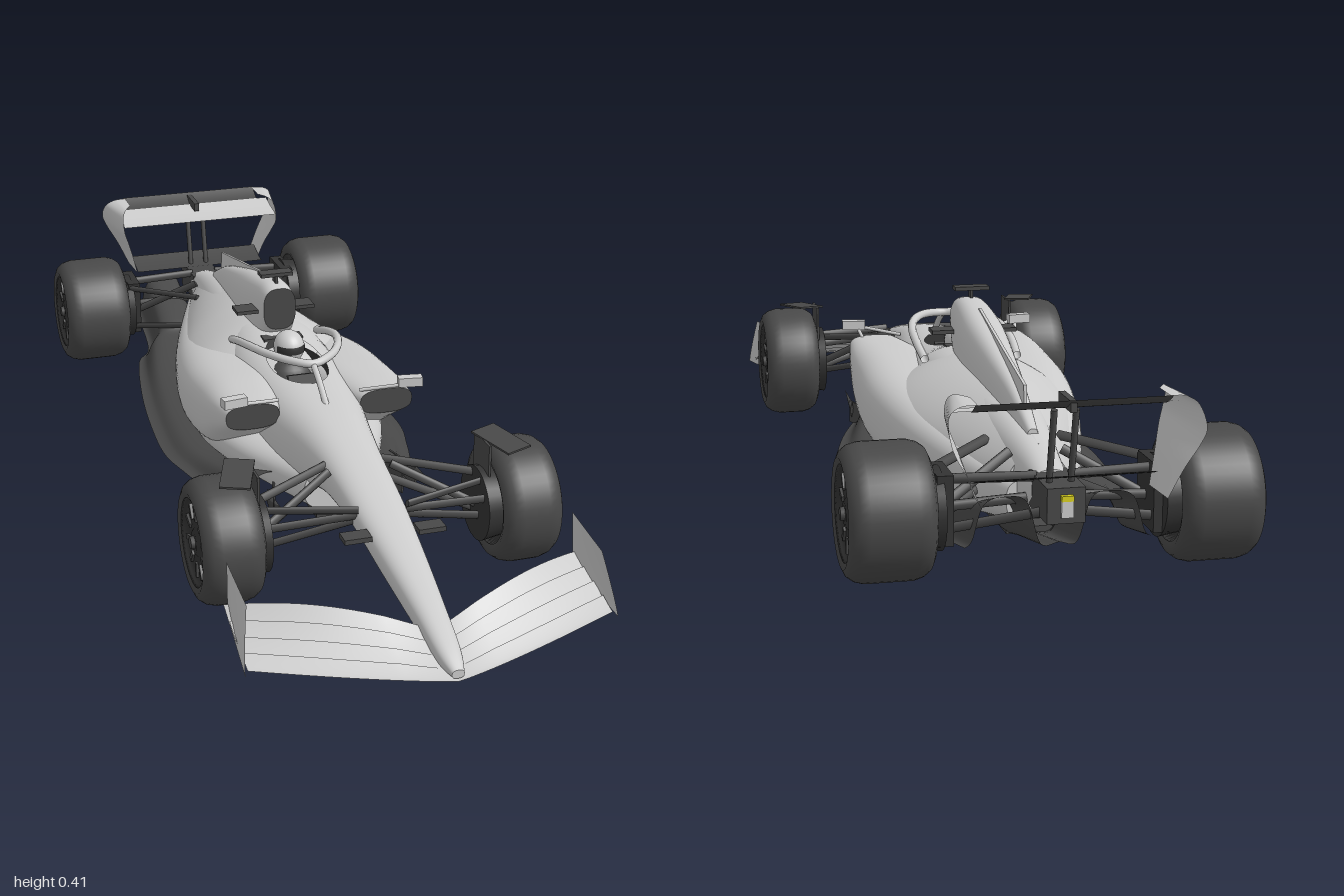
import * as THREE from 'three';
import { ParametricGeometry } from 'three/addons/geometries/ParametricGeometry.js';

const mat = (color) => new THREE.MeshStandardMaterial({ color, side: THREE.DoubleSide });
const V = (x, y, z) => new THREE.Vector3(x, y, z);
const lerp = THREE.MathUtils.lerp;

export function createModel() {
  const light = mat(0xcccccc), dark = mat(0x484848), black = mat(0x333333), yellow = mat(0xd8d020);
  const root = new THREE.Group();
  const car = new THREE.Group();
  car.name = 'car';
  car.rotation.y = -0.0067;
  car.position.x = -0.005;
  root.add(car);

  const add = (name, geo, material, parent = car) => {
    const m = new THREE.Mesh(geo, material);
    m.name = name;
    parent.add(m);
    return m;
  };
  const box = (name, size, pos, material, parent = car) => {
    const m = add(name, new THREE.BoxGeometry(...size), material, parent);
    m.position.set(...pos);
    return m;
  };
  const sheet = (name, f, nu, nv, material, parent = car) =>
    add(name, new ParametricGeometry((u, v, t) => t.set(...f(u, v)), nu, nv), material, parent);
  // Straight strut, flattened like a wing section
  const strut = (name, a, b, r, parent, flat = 0.6, material = dark) => {
    const m = add(name, new THREE.CylinderGeometry(r, r, a.distanceTo(b), 10), material, parent);
    m.position.copy(a).lerp(b, 0.5);
    m.quaternion.setFromUnitVectors(V(0, 1, 0), b.clone().sub(a).normalize());
    m.scale.z = flat;
    return m;
  };
  // Smooth blend of station rows
  const sample = (rows, v) => {
    const s = v * (rows.length - 1), i = Math.min(Math.floor(s), rows.length - 2), t = s - i;
    const at = (k) => rows[Math.max(0, Math.min(rows.length - 1, k))];
    return at(i).map((b, k) => {
      const a = at(i - 1)[k], c = at(i + 1)[k], d = at(i + 2)[k];
      return b + 0.5 * t * (c - a + t * (2 * a - 5 * b + 4 * c - d + t * (3 * (b - c) + d - a)));
    });
  };
  // Superellipse loft; rows are [z, xCentre, halfWidth, yBottom, yTop], gap(z) opens the top
  const loft = (name, rows, n, material, { parent = car, gap = () => 0, front = material } = {}) => {
    const point = (u, v) => {
      const [z, xc, w, yb, yt] = sample(rows, v);
      const start = Math.acos(Math.min(1, (gap(z) / w) ** (n / 2)));
      const a = start - u * (Math.PI + 2 * start);
      const p = (q) => Math.sign(q) * Math.abs(q) ** (2 / n);
      return [xc + w * p(Math.cos(a)), (yb + yt) / 2 + ((yt - yb) / 2) * p(Math.sin(a)), z];
    };
    sheet(name, point, 48, rows.length * 8, material, parent);
    [0, 1].forEach((v) => {
      const pts = Array.from({ length: 48 }, (_, i) => new THREE.Vector2(...point(i / 48, v)));
      add(name + 'End', new THREE.ShapeGeometry(new THREE.Shape(pts)), v ? material : front, parent)
        .position.z = rows[v ? rows.length - 1 : 0][0];
    });
  };

  // Nose, cockpit surround and tail in one shell
  const gap = (z) => 0.062 * Math.sqrt(Math.max(0, 1 - ((z - 0.01) / 0.12) ** 2));
  loft('mainBody', [
    [0.99, 0, 0.012, 0.045, 0.062], [0.94, 0, 0.024, 0.045, 0.085], [0.84, 0, 0.033, 0.062, 0.12],
    [0.7, 0, 0.045, 0.09, 0.16], [0.55, 0, 0.056, 0.12, 0.197], [0.4, 0, 0.067, 0.12, 0.228],
    [0.28, 0, 0.085, 0.09, 0.247], [0.16, 0, 0.108, 0.055, 0.258], [0.05, 0, 0.12, 0.05, 0.266],
    [-0.06, 0, 0.125, 0.05, 0.275], [-0.17, 0, 0.12, 0.05, 0.285], [-0.32, 0, 0.105, 0.05, 0.278],
    [-0.47, 0, 0.085, 0.05, 0.262], [-0.62, 0, 0.062, 0.06, 0.238], [-0.74, 0, 0.045, 0.08, 0.212],
    [-0.81, 0, 0.036, 0.12, 0.192]], 2.5, light, { gap });
  // Sloping shoulders that run from the spine down to the sidepods
  loft('shoulders', [[-0.02, 0, 0.19, 0.06, 0.235], [-0.1, 0, 0.2, 0.055, 0.268], [-0.2, 0, 0.2, 0.05, 0.292],
    [-0.33, 0, 0.178, 0.05, 0.288], [-0.47, 0, 0.138, 0.05, 0.27], [-0.6, 0, 0.1, 0.055, 0.245],
    [-0.72, 0, 0.06, 0.08, 0.217]], 1.4, light);
  // Undercut flanks below the intakes
  loft('flanks', [[0.31, 0, 0.075, 0.05, 0.15], [0.2, 0, 0.125, 0.045, 0.155], [0.09, 0, 0.172, 0.042, 0.16],
    [-0.04, 0, 0.205, 0.042, 0.16], [-0.18, 0, 0.205, 0.045, 0.16]], 2.6, light);
  // Roll hoop intake, engine cover spine and fin
  loft('engineCover', [
    [-0.12, 0, 0.037, 0.29, 0.386], [-0.17, 0, 0.043, 0.24, 0.39], [-0.28, 0, 0.048, 0.2, 0.372],
    [-0.42, 0, 0.038, 0.18, 0.334], [-0.56, 0, 0.024, 0.18, 0.29], [-0.68, 0, 0.012, 0.18, 0.235]],
  2.8, light, { front: dark });
  const finShape = new THREE.Shape([[0.24, 0.383], [0.62, 0.305], [0.625, 0.235], [0.3, 0.25]]
    .map((p) => new THREE.Vector2(...p)));
  const fin = add('fin', new THREE.ExtrudeGeometry(finShape, { depth: 0.006, bevelEnabled: false }), light);
  fin.rotation.y = Math.PI / 2;
  fin.position.x = -0.003;

  // Cockpit tub, driver and wheel
  const tub = add('cockpitTub', new THREE.CylinderGeometry(1, 1, 0.1, 40, 1, true), black);
  tub.scale.set(0.063, 1, 0.122);
  tub.position.set(0, 0.207, 0.01);
  const tubFloor = add('cockpitFloor', new THREE.CircleGeometry(1, 40).rotateX(-Math.PI / 2), black);
  tubFloor.scale.copy(tub.scale);
  tubFloor.position.set(0, 0.165, 0.01);
  const helmet = add('helmet', new THREE.SphereGeometry(0.035, 24, 18), light);
  helmet.scale.set(0.97, 1.05, 1.15);
  helmet.position.set(0, 0.276, -0.05);
  const visor = add('visor', new THREE.SphereGeometry(0.036, 20, 8, 0.4, Math.PI - 0.8, 1.3, 0.45), black);
  visor.scale.copy(helmet.scale);
  visor.position.copy(helmet.position);
  const torso = add('driverTorso', new THREE.SphereGeometry(0.05, 20, 14), dark);
  torso.scale.set(1.05, 0.9, 0.8);
  torso.position.set(0, 0.205, -0.04);
  box('headrest', [0.09, 0.05, 0.03], [0, 0.255, -0.105], dark);
  box('steeringWheel', [0.07, 0.035, 0.012], [0, 0.235, 0.06], dark).rotation.x = -0.3;

  // Halo hoop and pillar
  const half = [[0.1, 0.262, -0.16], [0.104, 0.285, -0.09], [0.1, 0.301, -0.02], [0.08, 0.308, 0.05], [0.045, 0.309, 0.105]];
  const haloPts = [...half.map((p) => V(...p)), V(0, 0.306, 0.13),
    ...half.slice().reverse().map(([x, y, z]) => V(-x, y, z))];
  add('halo', new THREE.TubeGeometry(new THREE.CatmullRomCurve3(haloPts), 64, 0.009, 12), light);
  add('haloPillar', new THREE.TubeGeometry(new THREE.CatmullRomCurve3(
    [V(0, 0.306, 0.127), V(0, 0.287, 0.165), V(0, 0.242, 0.23)]), 16, 0.007, 10), light);

  // Camera mast above the intake
  box('cameraBar', [0.073, 0.008, 0.03], [0, 0.411, -0.155], dark);
  box('cameraStem', [0.006, 0.03, 0.02], [0, 0.398, -0.155], dark);

  // Floor with two tunnels and rising diffuser: [z, halfWidth, edgeY, tunnelY]
  const floorRows = [[0.22, 0.195, 0.036, 0.11], [0.13, 0.228, 0.034, 0.085], [0.02, 0.258, 0.033, 0.065],
    [-0.1, 0.28, 0.032, 0.058], [-0.3, 0.27, 0.03, 0.055], [-0.48, 0.247, 0.028, 0.06],
    [-0.64, 0.215, 0.03, 0.085], [-0.7, 0.178, 0.04, 0.11], [-0.87, 0.172, 0.075, 0.165]];
  const cut = [[-1, 0], [-0.92, 0.15], [-0.8, 0.85], [-0.55, 1], [-0.34, 0.85], [-0.2, 0], [0, 0],
    [0.2, 0], [0.34, 0.85], [0.55, 1], [0.8, 0.85], [0.92, 0.15], [1, 0]];
  sheet('floor', (u, v) => {
    const [z, w, e, t] = sample(floorRows, v), [s, f] = sample(cut, u);
    return [s * w, lerp(e, t, f), z];
  }, 72, 48, dark);
  box('plank', [0.09, 0.012, 0.96], [0, 0.034, -0.18], dark);

  // Tail: crash structure, lamp, beam wing and rear wing
  box('crashStructure', [0.07, 0.065, 0.13], [0, 0.155, -0.85], dark);
  box('rearLamp', [0.022, 0.03, 0.012], [0, 0.15, -0.918], light);
  box('rearLampTop', [0.022, 0.01, 0.014], [0, 0.17, -0.918], yellow);
  const plane = (name, w, z0, y0, z1, y1, m) => sheet(name, (u, v) =>
    [(u * 2 - 1) * w, lerp(y0, y1, v ** 1.5), lerp(z0, z1, v)], 24, 8, m);
  plane('beamWing', 0.165, -0.85, 0.19, -0.92, 0.21, dark);
  plane('rearWingMain', 0.2, -0.83, 0.319, -0.925, 0.336, light);
  plane('rearWingFlap', 0.175, -0.915, 0.332, -0.965, 0.356, dark);
  box('wingActuator', [0.012, 0.02, 0.08], [0, 0.342, -0.915], dark);
  // Endplate stations: [xFront, xRear, y, zFront, zRear]
  const endRows = [[0.17, 0.17, 0.355, -0.9, -0.962], [0.19, 0.2, 0.353, -0.865, -0.962],
    [0.2, 0.221, 0.338, -0.845, -0.97], [0.2, 0.225, 0.305, -0.83, -0.998], [0.19, 0.215, 0.275, -0.84, -0.995],
    [0.175, 0.19, 0.23, -0.865, -0.985], [0.16, 0.165, 0.175, -0.885, -0.975]];

  // Front wing surface, u across and v along the chord
  const wingPoint = (u, v) => {
    const le = 0.995 - 0.12 * u ** 1.2, te = 0.872 - 0.162 * u ** 1.3;
    const yl = 0.042 + 0.014 * u, yt = 0.078 + 0.036 * Math.sin(Math.PI * 0.85 * u);
    return [u * 0.355, lerp(yl, yt, v ** 1.3), lerp(le, te, v)];
  };

  // One wheel: tyre, recessed rim, spokes and nut
  const wheel = (name, parent, xIn, xOut, z) => {
    const g = new THREE.Group(), h = (xOut - xIn) / 2, R = 0.127;
    g.name = name;
    g.position.set((xIn + xOut) / 2, 0.128, z);
    parent.add(g);
    const profile = (list) => new THREE.LatheGeometry(list.map((p) => new THREE.Vector2(...p)), 48).rotateZ(-Math.PI / 2);
    add('tyre', profile([[0.088, -h + 0.004], [0.1, -h], [0.113, -h + 0.006], [0.122, -h + 0.018], [R, -h + 0.036],
      [R, h - 0.036], [0.122, h - 0.018], [0.113, h - 0.006], [0.1, h], [0.088, h - 0.004]]), dark, g);
    add('rim', profile([[0, -h + 0.03], [0.08, -h + 0.025], [0.09, -h + 0.004], [0.09, h - 0.004], [0.083, h - 0.008],
      [0.078, h - 0.016], [0.03, h - 0.014], [0.022, h - 0.008], [0, h - 0.008]]), black, g);
    for (let i = 0; i < 10; i++) {
      const a = (i / 10) * Math.PI * 2;
      const s = box('spoke', [0.006, 0.03, 0.01], [h - 0.013, Math.cos(a) * 0.06, Math.sin(a) * 0.06], dark, g);
      s.rotation.x = a;
    }
    add('wheelNut', new THREE.CylinderGeometry(0.012, 0.014, 0.012, 12).rotateZ(-Math.PI / 2), dark, g).position.x = h - 0.006;
    add('brakeDrum', new THREE.CylinderGeometry(0.078, 0.07, 0.05, 32).rotateZ(Math.PI / 2), black, g).position.x = -h + 0.005;
  };

  // Everything that comes in pairs
  [['left', 1], ['right', -1]].forEach(([label, sign]) => {
    const side = new THREE.Group();
    side.name = label + 'Side';
    side.scale.x = sign;
    car.add(side);
    wheel('frontWheel', side, 0.242, 0.368, 0.51);
    wheel('rearWheel', side, 0.222, 0.381, -0.79);

    loft('sidepod', [[0.18, 0.148, 0.058, 0.195, 0.25], [0.1, 0.14, 0.078, 0.145, 0.252],
      [0.0, 0.128, 0.097, 0.085, 0.25], [-0.14, 0.115, 0.11, 0.06, 0.238], [-0.3, 0.095, 0.105, 0.05, 0.215],
      [-0.45, 0.075, 0.087, 0.05, 0.192], [-0.6, 0.05, 0.065, 0.055, 0.172], [-0.74, 0.03, 0.035, 0.08, 0.155]],
    2.8, light, { parent: side, front: dark });

    // Mirror with stalks
    box('mirror', [0.052, 0.02, 0.022], [0.193, 0.271, 0.2], light, side).rotation.y = -0.15;
    strut('mirrorStalk', V(0.185, 0.265, 0.198), V(0.175, 0.24, 0.16), 0.004, side, 1, light);
    strut('mirrorArm', V(0.17, 0.264, 0.2), V(0.09, 0.25, 0.17), 0.004, side, 1, light);
    box('intakeEar', [0.05, 0.008, 0.045], [0.065, 0.325, -0.172], dark, side);

    // Floor fences with pointed tips
    [0.115, 0.15, 0.185].forEach((x, i) => {
      box('floorFence', [0.004, 0.05, 0.1], [x, 0.06, 0.22 - i * 0.015], dark, side).rotation.y = 0.25;
      const tip = add('fenceTip', new THREE.ConeGeometry(0.02, 0.1, 4), dark, side);
      tip.rotation.x = Math.PI / 2 - 0.25;
      tip.scale.x = 0.2;
      tip.position.set(x + 0.012, 0.06 + i * 0.01, 0.265);
    });

    // Front suspension and tyre winglet
    [[[0.25, 0.185, 0.5], [0.06, 0.2, 0.4]], [[0.25, 0.185, 0.52], [0.05, 0.185, 0.58]],
      [[0.25, 0.1, 0.5], [0.065, 0.15, 0.37]], [[0.25, 0.1, 0.52], [0.05, 0.155, 0.56]],
      [[0.25, 0.11, 0.51], [0.065, 0.205, 0.44]], [[0.25, 0.155, 0.55], [0.05, 0.17, 0.57]]]
      .forEach(([a, b]) => strut('frontArm', V(...a), V(...b), 0.009, side));
    box('tyreWinglet', [0.06, 0.004, 0.11], [0.272, 0.262, 0.51], dark, side).rotation.set(0.08, 0.35, 0);
    box('wingletPost', [0.005, 0.1, 0.08], [0.238, 0.213, 0.5], dark, side);
    box('noseCamera', [0.055, 0.01, 0.035], [0.075, 0.161, 0.64], dark, side);

    // Rear suspension and drive shaft
    [[[0.23, 0.185, -0.77], [0.07, 0.2, -0.6]], [[0.23, 0.185, -0.8], [0.03, 0.185, -0.82]],
      [[0.23, 0.08, -0.77], [0.08, 0.12, -0.62]], [[0.23, 0.09, -0.81], [0.03, 0.13, -0.86]],
      [[0.23, 0.128, -0.79], [0.02, 0.135, -0.78]], [[0.23, 0.1, -0.78], [0.05, 0.2, -0.7]]]
      .forEach(([a, b]) => strut('rearArm', V(...a), V(...b), 0.01, side));
    box('rearBrakeDuct', [0.03, 0.13, 0.1], [0.2, 0.135, -0.79], black, side);
    strut('wingPylon', V(0.02, 0.18, -0.87), V(0.02, 0.325, -0.9), 0.006, side, 1);
    sheet('rearEndplate', (u, v) => {
      const [xf, xr, y, zf, zr] = sample(endRows, v);
      return [lerp(xf, xr, u), y, lerp(zf, zr, u)];
    }, 6, 36, light, side);

    // Four overlapping front wing elements and the endplate
    for (let k = 0; k < 4; k++) {
      sheet('frontWingElement', (u, v) => {
        const p = wingPoint(u, (k + v * 1.06) / 4.06);
        p[1] += 0.006 * v * Math.min(1, 4 * u);
        return p;
      }, 20, 4, light, side);
    }
    sheet('frontEndplate', (u, v) => [lerp(lerp(0.362, 0.347, u), 0.345, v ** 1.3),
      lerp(lerp(0.05, 0.07, u), lerp(0.165, 0.182, u), v), lerp(lerp(0.885, 0.71, u), lerp(0.835, 0.7, u), v)],
    8, 10, light, side);
  });
  return root;
}
